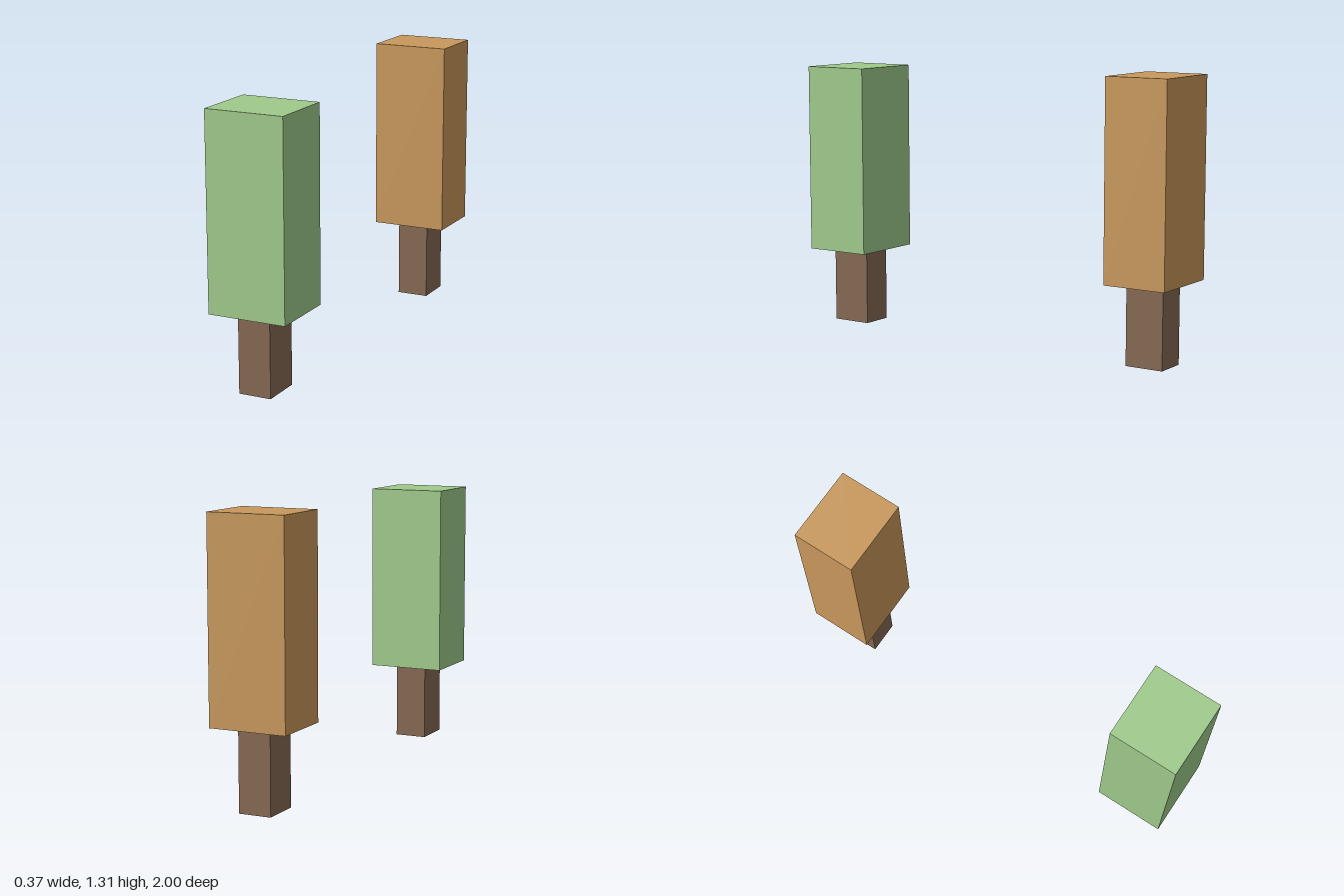
import * as THREE from 'three';

// Box given by its width, vertical range and depth range, centred on x = 0
function block(name, color, width, [y0, y1], [z0, z1]) {
  const mesh = new THREE.Mesh(
    new THREE.BoxGeometry(width, y1 - y0, z1 - z0),
    new THREE.MeshStandardMaterial({ color, flatShading: true })
  );
  mesh.position.set(0, (y0 + y1) / 2, (z0 + z1) / 2);
  mesh.name = name;
  return mesh;
}

// A tree: block foliage on a square trunk
function tree(name, leafColor, { base, split, top, leafWidth, leafZ, trunkWidth, trunkZ }) {
  const group = new THREE.Group();
  group.name = name;
  group.add(
    block('trunk', 0x856853, trunkWidth, [base, split], trunkZ),
    block('foliage', leafColor, leafWidth, [split, top], leafZ)
  );
  return group;
}

export function createModel() {
  const model = new THREE.Group();
  model.name = 'blockTrees';
  model.add(
    // Green tree at the front
    tree('greenTree', 0x9fca8b, {
      base: 0.017, split: 0.386, top: 1.294,
      leafWidth: 0.374, leafZ: [0.667, 1],
      trunkWidth: 0.156, trunkZ: [0.736, 0.935],
    }),
    // Autumn tree at the back
    tree('autumnTree', 0xc8985c, {
      base: 0, split: 0.381, top: 1.313,
      leafWidth: 0.37, leafZ: [-1, -0.692],
      trunkWidth: 0.156, trunkZ: [-0.936, -0.749],
    })
  );
  return model;
}
